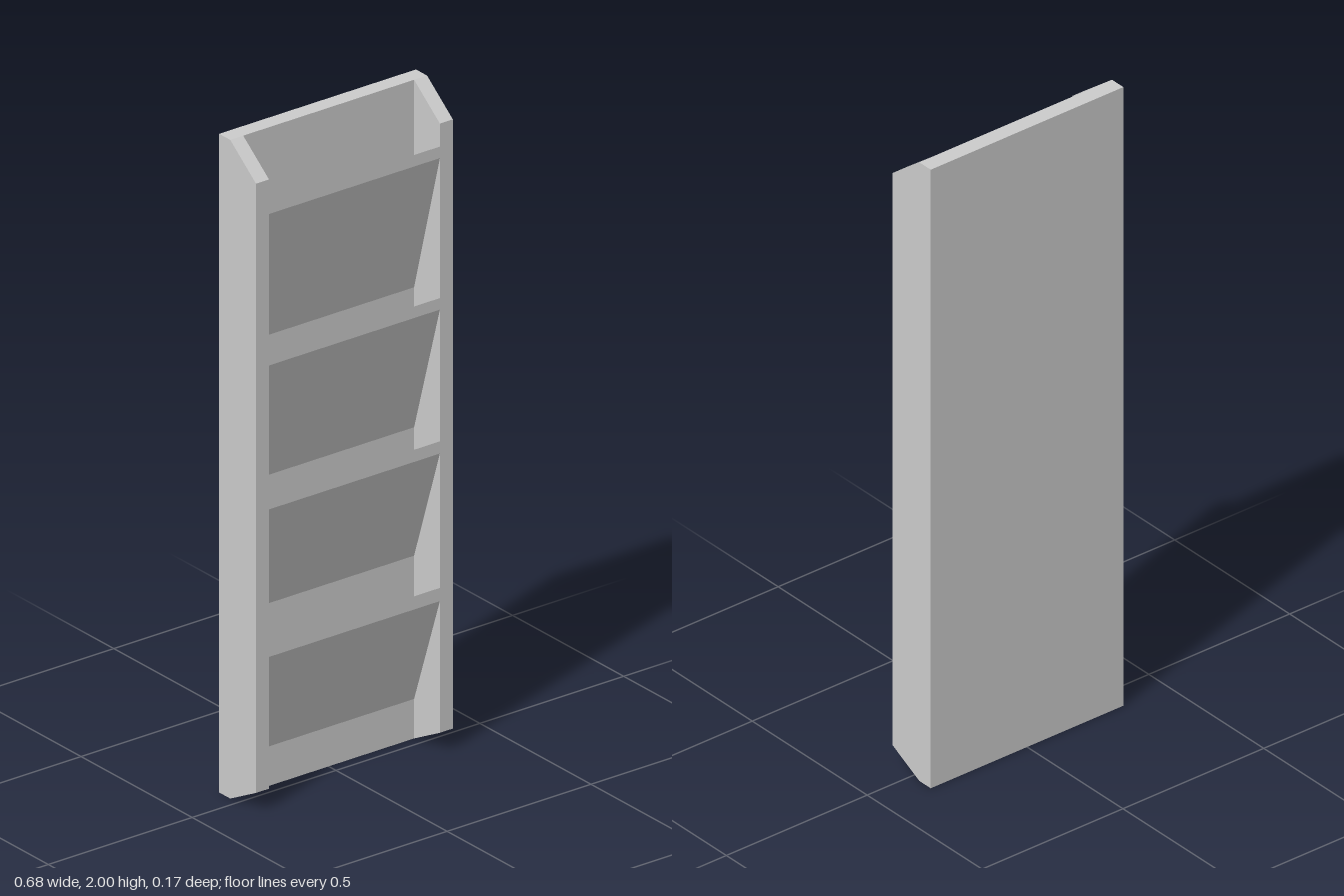
import * as THREE from 'three';

const HALF_W = 0.342;   // outer half width
const INNER = 0.297;    // inner face of the side rails
const BACK = -0.083;
const PANEL = -0.033;   // front face of the back panel
const FRONT = 0.083;

const material = new THREE.MeshStandardMaterial({ color: 0xcccccc });

// Extrude a side profile of [z, y] points from x0 to x1
function profileMesh(name, points, x0, x1) {
  const shape = new THREE.Shape(points.map(([z, y]) => new THREE.Vector2(-z, y)));
  const geometry = new THREE.ExtrudeGeometry(shape, { depth: x1 - x0, bevelEnabled: false });
  geometry.rotateY(Math.PI / 2);
  geometry.translate(x0, 0, 0);
  const mesh = new THREE.Mesh(geometry, material);
  mesh.name = name;
  return mesh;
}

export function createModel() {
  const group = new THREE.Group();
  group.name = 'literatureRack';

  // Flat back panel between the rails
  group.add(profileMesh('backPanel',
    [[BACK, 0], [PANEL, 0], [PANEL, 2], [BACK, 2]], -INNER, INNER));

  // Side rails with slanted top and bottom ends
  const rail = [[BACK, 0], [PANEL, 0], [FRONT, 0.06], [FRONT, 1.91], [PANEL, 2], [BACK, 2]];
  group.add(profileMesh('leftRail', rail, INNER, HALF_W));
  group.add(profileMesh('rightRail', rail, -HALF_W, -INNER));

  // Sloping pocket fronts: [lip top, lip bottom, foot where the slope meets the panel]
  const pockets = [
    [1.84, 1.805, 1.37],
    [1.38, 1.345, 0.945],
    [0.945, 0.908, 0.555],
    [0.50, 0.46, 0.12],
  ];
  pockets.forEach(([top, bottom, foot], i) => {
    group.add(profileMesh(`pocketFront${i + 1}`,
      [[PANEL, foot], [FRONT, bottom], [FRONT, top], [PANEL, foot + top - bottom]],
      -INNER, INNER));
  });

  return group;
}
